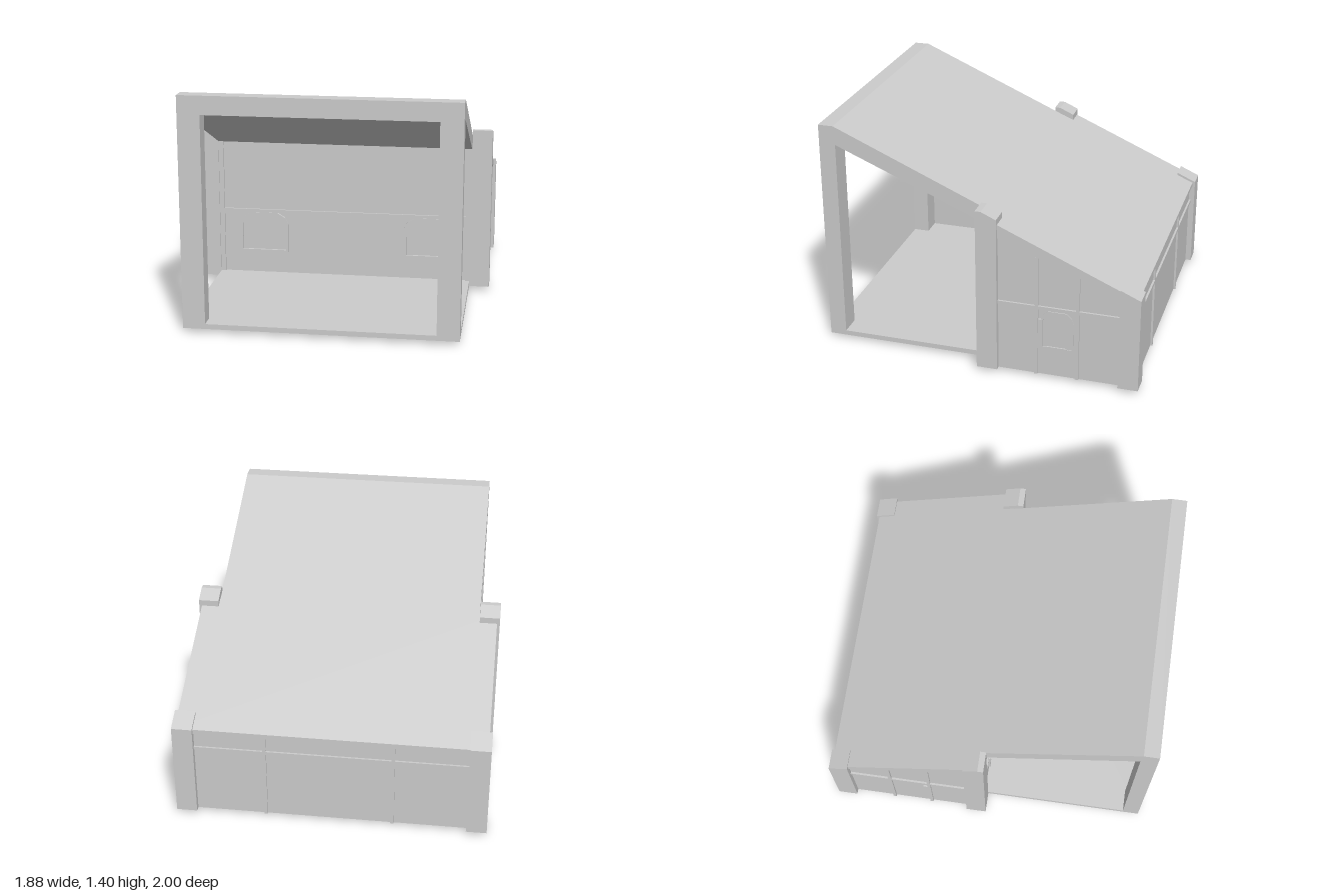
import * as THREE from 'three';

const material = new THREE.MeshStandardMaterial({ color: 0xcccccc, flatShading: true });

export function createModel() {
  const root = new THREE.Group();
  root.name = 'shelter';
  const house = new THREE.Group();
  house.name = 'openFrontedShed';
  house.rotation.y = -0.025; // stands slightly skewed
  house.position.x = -0.014;
  root.add(house);

  const add = (name, geometry) => {
    const mesh = new THREE.Mesh(geometry, material);
    mesh.name = name;
    house.add(mesh);
    return mesh;
  };

  // box given by its min and max on each axis
  const box = (name, x0, x1, y0, y1, z0, z1) => {
    const g = new THREE.BoxGeometry(x1 - x0, y1 - y0, z1 - z0);
    g.translate((x0 + x1) / 2, (y0 + y1) / 2, (z0 + z1) / 2);
    return add(name, g);
  };

  // side profile of [z, y] points, extruded across x
  const profile = (name, points, width, x = 0) => {
    const shape = new THREE.Shape(points.map(p => new THREE.Vector2(...p)));
    const g = new THREE.ExtrudeGeometry(shape, { depth: width, bevelEnabled: false });
    g.translate(0, 0, -width / 2).rotateY(-Math.PI / 2).translate(x, 0, 0);
    return add(name, g);
  };

  const roofTop = z => 1.4 - 0.433 * (0.885 - z);
  const roofUnder = z => 0.88 + (z + 0.12) * 0.377;
  const bottom = 0.025;

  // sloping roof: a narrower canopy in front, a wider part over the room
  profile('canopyRoof', [[0.976, 1.4], [0.885, 1.4], [-0.07, roofTop(-0.07)], [-0.07, 0.9],
    [0, 0.92], [0.876, 1.285], [0.976, 1.29]], 1.606);
  profile('rearRoof', [[-0.07, roofTop(-0.07)], [-0.963, roofTop(-0.963)], [-0.963, 0.575],
    [-0.863, 0.6], [-0.12, 0.88], [-0.07, 0.9]], 1.82);

  // floor and closed rear room
  box('porchFloor', -0.803, 0.803, bottom, 0.055, -0.04, 0.976);
  profile('room', [[-0.03, bottom], [-0.03, 0.94], [-0.12, 0.9], [-0.86, 0.61],
    [-0.945, 0.59], [-0.945, bottom]], 1.79);

  for (const s of [-1, 1]) {
    // front pillars
    box('frontPillar', s * 0.737 - 0.066, s * 0.737 + 0.066, bottom, 1.3, 0.876, 0.976);

    // corner posts with tops that follow the roof
    profile('middlePost', [[-0.01, bottom], [-0.01, 1.035], [-0.045, 1.035],
      [-0.135, 0.995], [-0.135, bottom]], 0.122, s * 0.866);
    profile('rearPost', [[-0.86, bottom], [-0.86, 0.66], [-0.98, 0.607],
      [-0.98, bottom]], 0.122, s * 0.866);

    // side wall battens, rail and door pull
    const sideBox = (name, y0, y1, z0, z1, out) =>
      box(name, s * 0.895 - out, s * 0.895 + out, y0, y1, z0, z1);
    for (const z of [-0.367, -0.612])
      sideBox('sideBatten', bottom, roofUnder(z), z - 0.01, z + 0.01, 0.012);
    sideBox('sideRail', 0.455, 0.475, -0.87, -0.12, 0.012);
    sideBox('doorPull', 0.2, 0.39, -0.405, -0.375, 0.01);

    // rear wall battens and front wall edge strips
    box('rearBatten', s * 0.378 + 0.001, s * 0.378 + 0.021, bottom, 0.585, -0.957, -0.94);
    box('edgeStrip', s * 0.79 - 0.015, s * 0.79 + 0.015, bottom, 0.92, -0.035, -0.018);
  }

  // rails across the rear and front walls
  box('rearLowerRail', -0.82, 0.82, 0.455, 0.475, -0.957, -0.94);
  box('rearUpperRail', -0.82, 0.82, 0.565, 0.587, -0.957, -0.94);
  box('frontRail', -0.81, 0.81, 0.455, 0.475, -0.035, -0.018);

  // arched frames with faceted tops
  const archPoints = (w, h) => [[-w, 0], [w, 0], [w, h * 0.74], [w * 0.88, h * 0.88],
    [w * 0.55, h], [-w * 0.55, h], [-w * 0.88, h * 0.88], [-w, h * 0.74]]
    .map(p => new THREE.Vector2(...p));
  const arch = (name, w, h, depth) => {
    const shape = new THREE.Shape(archPoints(w, h));
    const hole = archPoints(w - 0.013, h - 0.026).map(p => p.add(new THREE.Vector2(0, 0.013)));
    shape.holes.push(new THREE.Path(hole));
    return add(name, new THREE.ExtrudeGeometry(shape, { depth, bevelEnabled: false }));
  };
  for (const x of [-0.516, 0.539])
    arch('archedWindow', 0.153, 0.26, 0.02).position.set(x, 0.195, -0.035);

  // shallow arched panel and handle on the left wall
  const panel = arch('sideArch', 0.1, 0.25, 0.008);
  panel.rotation.y = Math.PI / 2;
  panel.position.set(0.892, 0.195, -0.49);
  box('sideHandle', 0.893, 0.903, 0.2, 0.215, -0.55, -0.42);

  // small runner under the floor
  box('runner', -0.38, -0.365, 0, 0.03, -0.35, -0.13);

  return root;
}
